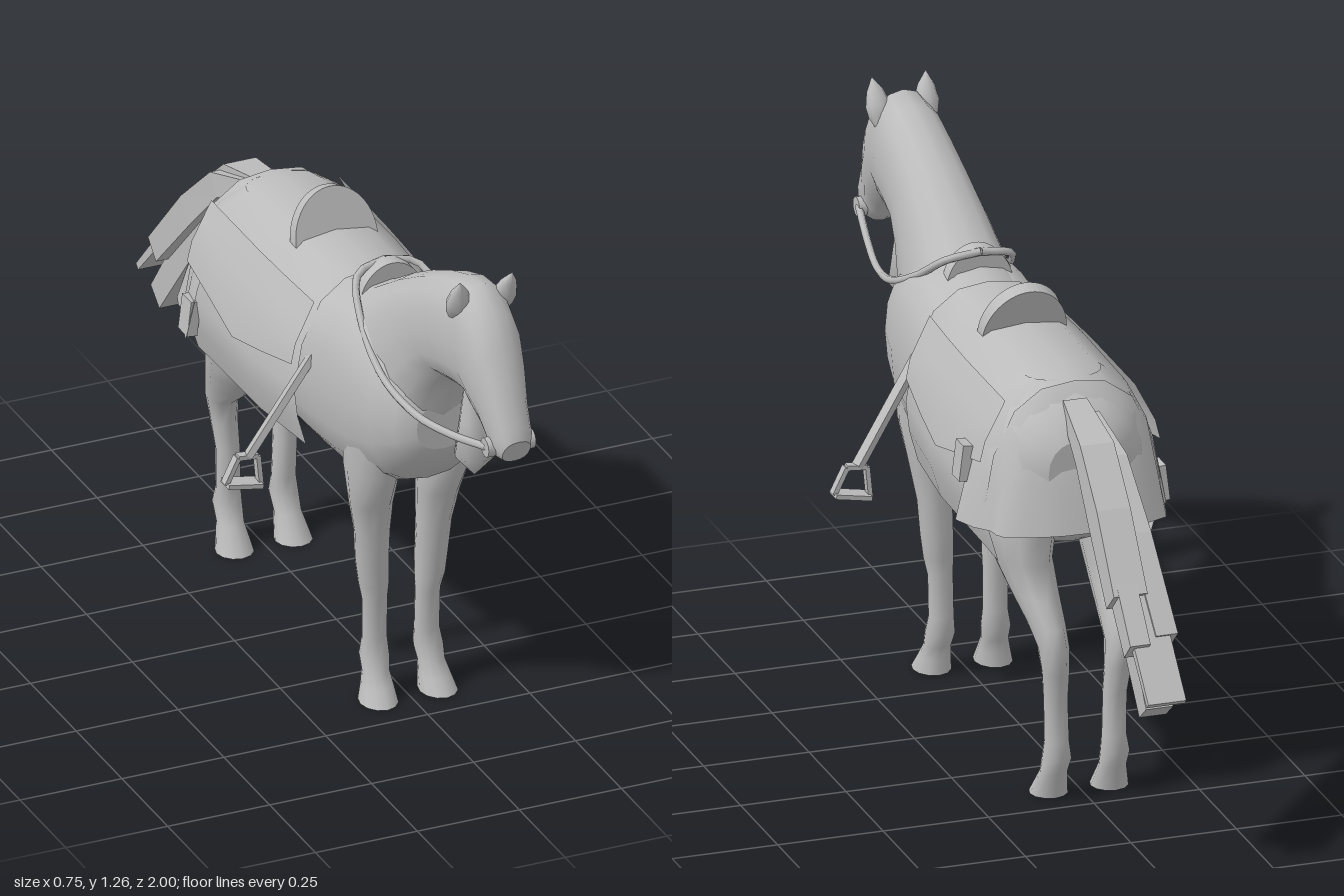
import * as THREE from 'three';

const V = (x, y, z) => new THREE.Vector3(x, y, z);

// closed skin through rings; each ring = [bottomZ, bottomY, topZ, topY, halfWidth, centreX]
function loft(rings, { n = 16, e = 0.85, offset = 0, flat = false } = {}) {
  const pos = [], idx = [];
  const pw = v => Math.sign(v) * Math.pow(Math.abs(v), e);
  const ring = ([bz, by, tz, ty, w, cx = 0]) => {
    for (let j = 0; j < n; j++) {
      const a = offset + (j / n) * Math.PI * 2, c = pw(Math.cos(a)), s = pw(Math.sin(a));
      pos.push(cx + w * s, (by + ty) / 2 + c * (ty - by) / 2, (bz + tz) / 2 + c * (tz - bz) / 2);
    }
  };
  rings.forEach(ring);
  const m = rings.length;
  for (let i = 0; i < m - 1; i++) {
    for (let j = 0; j < n; j++) {
      const k = (j + 1) % n, a = i * n + j, b = i * n + k;
      idx.push(a, a + n, b, b, a + n, b + n);
    }
  }
  // end caps on their own vertices, so their rims stay sharp
  for (const [r, flip] of [[0, false], [m - 1, true]]) {
    const a = pos.length / 3;
    ring(rings[r]);
    for (let j = 1; j < n - 1; j++) {
      const b = a + j, c = b + 1;
      if (flip) idx.push(a, c, b); else idx.push(a, b, c);
    }
  }
  let g = new THREE.BufferGeometry();
  g.setAttribute('position', new THREE.Float32BufferAttribute(pos, 3));
  g.setIndex(idx);
  if (flat) g = g.toNonIndexed();
  g.computeVertexNormals();
  return g;
}

// open sheet through rows of points
function sheet(rows) {
  const n = rows[0].length, idx = [];
  const g = new THREE.BufferGeometry().setFromPoints(rows.flat());
  for (let i = 0; i < rows.length - 1; i++)
    for (let j = 0; j < n - 1; j++) {
      const a = i * n + j;
      idx.push(a, a + n, a + 1, a + 1, a + n, a + n + 1);
    }
  g.setIndex(idx);
  g.computeVertexNormals();
  return g;
}

// rectangular bar between two points
function bar(a, b, w, d) {
  const dir = b.clone().sub(a), g = new THREE.BoxGeometry(w, dir.length(), d);
  g.applyQuaternion(new THREE.Quaternion().setFromUnitVectors(V(0, 1, 0), dir.clone().normalize()));
  const c = a.clone().add(b).multiplyScalar(0.5);
  return g.translate(c.x, c.y, c.z);
}

export function createModel() {
  const root = new THREE.Group();
  const grey = new THREE.MeshStandardMaterial({ color: 0xbcbcbc, side: THREE.DoubleSide });
  grey.name = 'plain grey';
  const add = (name, geo) => {
    const mesh = new THREE.Mesh(geo, grey);
    mesh.name = name;
    root.add(mesh);
    return mesh;
  };

  // torso: z, bottom, top, half width
  add('torso', loft([
    [-0.45, 0.70, 0.86, 0.09], [-0.42, 0.62, 0.905, 0.145], [-0.36, 0.58, 0.945, 0.18],
    [-0.25, 0.575, 0.97, 0.195], [-0.1, 0.565, 0.965, 0.2], [0.05, 0.55, 0.965, 0.2],
    [0.2, 0.53, 0.98, 0.18], [0.3, 0.53, 1.0, 0.172], [0.4, 0.55, 1.0, 0.165],
    [0.5, 0.6, 0.96, 0.145], [0.565, 0.67, 0.89, 0.115], [0.585, 0.715, 0.83, 0.065],
  ].map(([z, b, t, w]) => [z, b, z, t, w]), { n: 20 }));

  // neck and head in one skin
  add('neckAndHead', loft([
    [0.54, 0.70, 0.2, 0.985, 0.13], [0.595, 0.82, 0.31, 1.01, 0.115], [0.635, 0.90, 0.43, 1.085, 0.1],
    [0.68, 0.945, 0.53, 1.14, 0.09], [0.74, 0.955, 0.63, 1.187, 0.085], [0.79, 0.962, 0.72, 1.22, 0.083],
    [0.82, 0.955, 0.79, 1.232, 0.074], [0.85, 0.935, 0.86, 1.19, 0.07], [0.885, 0.912, 0.91, 1.12, 0.06],
    [0.905, 0.885, 0.955, 1.03, 0.05], [0.93, 0.863, 0.99, 0.96, 0.046], [0.97, 0.868, 1.0, 0.93, 0.034],
  ]));

  // legs from top to hoof: y, back z, front z, centre x, half width
  const frontLeg = [
    [0.78, 0.3, 0.5, 0.09, 0.06], [0.6, 0.305, 0.475, 0.088, 0.06], [0.5, 0.315, 0.425, 0.082, 0.05],
    [0.42, 0.32, 0.405, 0.076, 0.041], [0.34, 0.32, 0.392, 0.073, 0.039], [0.28, 0.322, 0.39, 0.069, 0.035],
    [0.24, 0.328, 0.378, 0.065, 0.03], [0.14, 0.325, 0.375, 0.064, 0.03], [0.1, 0.32, 0.385, 0.066, 0.035],
    [0.065, 0.335, 0.395, 0.068, 0.032], [0.035, 0.34, 0.415, 0.07, 0.038], [0, 0.337, 0.445, 0.073, 0.044],
  ];
  const hindLeg = [
    [0.8, -0.42, -0.18, 0.1, 0.08], [0.62, -0.44, -0.165, 0.11, 0.075], [0.55, -0.42, -0.185, 0.105, 0.064],
    [0.48, -0.455, -0.26, 0.095, 0.052], [0.42, -0.49, -0.33, 0.085, 0.041], [0.37, -0.5, -0.4, 0.079, 0.035],
    [0.31, -0.486, -0.415, 0.074, 0.031], [0.24, -0.468, -0.41, 0.07, 0.028], [0.14, -0.467, -0.415, 0.068, 0.029],
    [0.1, -0.478, -0.41, 0.069, 0.034], [0.06, -0.455, -0.395, 0.07, 0.032], [0, -0.443, -0.35, 0.072, 0.044],
  ];

  // saddle cloth side curve
  const curve = [[0.985, 0], [0.975, 0.08], [0.93, 0.146], [0.83, 0.198], [0.72, 0.219], [0.65, 0.21], [0.575, 0.187]];
  const clothX = y => {
    const i = Math.max(1, curve.findIndex(p => p[0] <= y));
    const [y0, x0] = curve[i - 1], [y1, x1] = curve[i];
    return x0 + (x1 - x0) * (y0 - y) / (y0 - y1);
  };
  const half = curve.map(([y, x]) => [x, y]);
  const section = [...half.slice(1).reverse().map(([x, y]) => [-x, y]), ...half];
  add('saddleCloth', sheet([[-0.36, 0.95, -0.02], [-0.28, 1, -0.005], [0, 1, 0], [0.21, 0.9, 0.005]]
    .map(([z, k, dy]) => section.map(([x, y]) => V(x * k, y + dy, z)))));

  // flared rear skirt with pointed hem corners, around the rump
  const q = v => Math.sign(v) * Math.pow(Math.abs(v), 0.75);
  add('rearSkirt', sheet([[0.965, 0.09, 0.07], [0.92, 0.15, 0.12], [0.84, 0.19, 0.165], [0.75, 0.212, 0.195], [0.64, 0.232, 0.225]]
    .map(([y, w, d], r) => Array.from({ length: 17 }, (_, j) => {
      const a = Math.PI * j / 16, fold = r > 2 ? 1 + 0.035 * Math.cos(j * Math.PI / 2) * (r - 2) : 1;
      const hem = r === 4 ? 0.02 * (Math.sin(a) - 0.5) : 0;
      return V(w * fold * q(Math.cos(a)), y + hem, -0.27 - d * q(Math.sin(a)));
    }))));

  // ear leaf profile
  const earProfile = [[0.016, 0], [0.028, 0.03], [0.03, 0.055], [0.02, 0.088], [0, 0.12]].map(([x, y]) => new THREE.Vector2(x, y));

  for (const s of [1, -1]) {
    const side = s > 0 ? 'left' : 'right';
    for (const [name, leg] of [['FrontLeg', frontLeg], ['HindLeg', hindLeg]])
      add(side + name, loft(leg.map(([y, b, f, x, w]) => [b, y, f, y, w, x * s]), { n: 12, e: 1 }));

    // pointed side panel lying on the cloth
    add(side + 'SidePanel', sheet([0, 0.33, 0.66, 1].map(t =>
      [[0.2, 0.785, 0.93], [0.06, 0.755, 0.975], [-0.07, 0.73, 1], [-0.2, 0.76, 1], [-0.34, 0.79, 1]].map(([z, low, k]) => {
        const y = 0.93 + (low - 0.93) * t;
        return V(s * (clothX(y) * k + 0.008), y, z);
      }))));

    // hip pad, set higher and further forward on the left
    const pad = add(side + 'HipPad', new THREE.BoxGeometry(0.025, 0.085, 0.05));
    pad.position.set(s * 0.225, s > 0 ? 0.765 : 0.675, s > 0 ? -0.255 : -0.3);
    pad.rotation.z = s * 0.12;

    // stirrup strap and iron
    add(side + 'StirrupStrap', bar(V(s * 0.155, 0.83, 0.235), V(s * 0.31, 0.585, 0.212), 0.016, 0.026));
    const iron = [[0.29, 0.582], [0.338, 0.586], [0.368, 0.525], [0.283, 0.51]];
    iron.forEach(([x, y], i) => {
      const [x2, y2] = iron[(i + 1) % 4];
      add(side + 'StirrupIron', bar(V(s * x, y, 0.212), V(s * x2, y2, 0.212), 0.011, i === 2 ? 0.045 : 0.022));
    });

    // ears
    const ear = add(side + 'Ear', new THREE.LatheGeometry(earProfile, 8));
    ear.scale.z = 0.75;
    ear.position.set(s * 0.052, 1.15, 0.773);
    ear.rotation.set(0.4, 0, -s * 0.1);

    // bit ring and rein
    const bit = add(side + 'Bit', new THREE.CylinderGeometry(0.023, 0.023, 0.02, 12));
    bit.rotation.z = Math.PI / 2;
    bit.position.set(s * 0.048, 0.9, 0.94);
    const path = new THREE.CatmullRomCurve3([[0.052, 0.9, 0.94], [0.08, 0.872, 0.8], [0.105, 0.862, 0.66],
      [0.12, 0.89, 0.52], [0.108, 0.955, 0.38], [0.072, 1.025, 0.28], [0, 1.04, 0.265]].map(([x, y, z]) => V(s * x, y, z)));
    add(side + 'Rein', new THREE.TubeGeometry(path, 28, 0.009, 6));
  }

  // throat tassel
  const tassel = add('throatTassel', new THREE.LatheGeometry(
    [[0, 0.73], [0.048, 0.785], [0.036, 0.87], [0.022, 0.98]].map(([x, y]) => new THREE.Vector2(x, y)), 8));
  tassel.position.z = 0.755;

  // saddle arches
  const arch = (name, w, h, depth, y, z, tilt) => {
    const shape = new THREE.Shape();
    shape.moveTo(w, 0);
    shape.absellipse(0, 0, w, h, 0, Math.PI, false);
    const m = add(name, new THREE.ExtrudeGeometry(shape, { depth, bevelEnabled: false, curveSegments: 14 }));
    m.position.set(0, y, z);
    m.rotation.x = tilt;
  };
  arch('cantle', 0.1, 0.125, 0.034, 0.95, -0.028, -0.32);
  arch('pommel', 0.08, 0.1, 0.035, 0.948, 0.27, 0);

  // tail: overlapping slabs, [z, y, half thickness] from root to tip; x drifts sideways to the tip
  const strand = (x, drift, w, pts) => {
    const last = pts.length - 1;
    const rings = pts.map(([z, y, h], i) => {
      const a = pts[Math.max(0, i - 1)], b = pts[Math.min(last, i + 1)];
      const dz = b[0] - a[0], dy = b[1] - a[1], l = Math.hypot(dz, dy);
      const nz = dy / l * h, ny = -dz / l * h;
      return [z - nz, y - ny, z + nz, y + ny, w * (i ? 1 : 0.7), x + drift * i / last];
    }).reverse();
    add('tailStrand', loft(rings, { n: 4, e: 0, offset: Math.PI / 4, flat: true }));
  };
  strand(0.005, 0.022, 0.04, [[-0.38, 0.915, 0.018], [-0.54, 0.862, 0.032], [-0.66, 0.755, 0.04], [-0.8, 0.605, 0.035]]);
  strand(-0.02, -0.016, 0.026, [[-0.42, 0.9, 0.015], [-0.56, 0.84, 0.03], [-0.7, 0.71, 0.035], [-0.87, 0.53, 0.03]]);
  strand(0.022, 0.012, 0.024, [[-0.54, 0.85, 0.02], [-0.72, 0.69, 0.035], [-0.89, 0.52, 0.03]]);
  strand(0, 0, 0.032, [[-0.52, 0.84, 0.02], [-0.68, 0.685, 0.04], [-0.92, 0.38, 0.03]]);
  strand(0, 0, 0.045, [[-0.54, 0.86, 0.012], [-0.76, 0.665, 0.014], [-0.99, 0.425, 0.008]]);
  return root;
}
